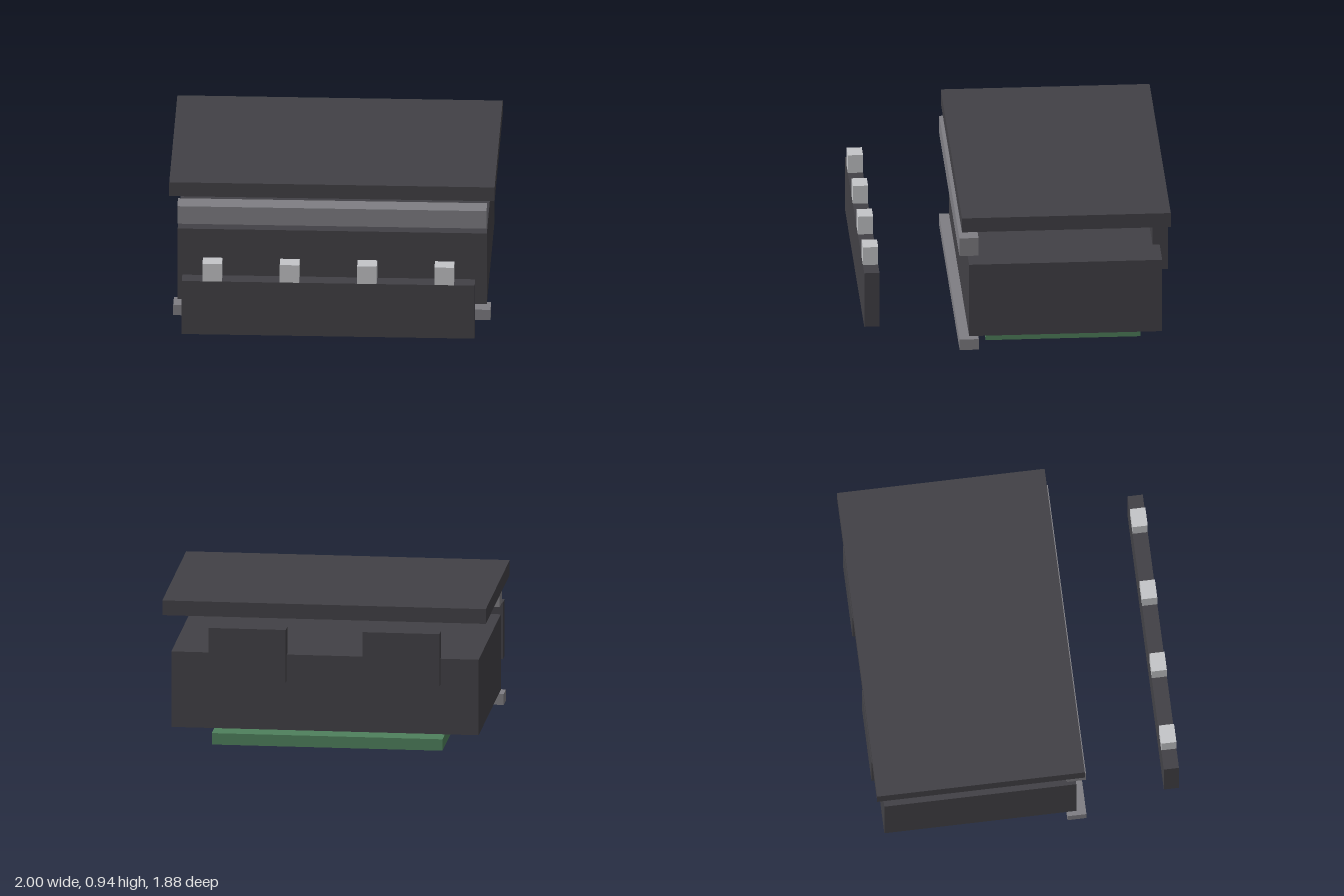
import * as THREE from 'three';

const paint = (name, color) => {
  const m = new THREE.MeshStandardMaterial({ color });
  m.name = name;
  return m;
};

export function createModel() {
  const charcoal = paint('charcoal', 0x424146);
  const midGray = paint('midGray', 0x7f7e83);
  const lightGray = paint('lightGray', 0xc4c5c8);
  const green = paint('boardGreen', 0x4f805c);

  const model = new THREE.Group();
  model.name = 'explodedEnclosure';

  // Adds a box given its extents along each axis
  const box = (name, material, [x0, x1], [y0, y1], [z0, z1]) => {
    const mesh = new THREE.Mesh(new THREE.BoxGeometry(x1 - x0, y1 - y0, z1 - z0), material);
    mesh.position.set((x0 + x1) / 2, (y0 + y1) / 2, (z0 + z1) / 2);
    mesh.name = name;
    model.add(mesh);
  };

  // Main enclosure and the lid floating above it
  box('lid', charcoal, [-1, 1], [0.85, 0.943], [-0.94, 0.345]);
  box('body', charcoal, [-0.95, 0.95], [0.133, 0.61], [-0.89, 0.298]);

  // Trim bars along the front
  box('upperBar', midGray, [-0.95, 0.95], [0.67, 0.788], [0.24, 0.358]);
  box('lowerBar', midGray, [-0.975, 0.975], [0.052, 0.122], [0.24, 0.358]);

  // Circuit board and chip beneath the body
  box('circuitBoard', green, [-0.713, 0.713], [0, 0.072], [-0.773, 0.18]);
  box('chip', charcoal, [-0.178, 0.178], [0.072, 0.12], [-0.475, -0.12]);

  // Front panel with four buttons on its top edge
  box('frontPanel', charcoal, [-0.9, 0.9], [0.192, 0.55], [0.846, 0.94]);
  for (const x of [-0.713, -0.238, 0.238, 0.713]) {
    box('button', lightGray, [x - 0.06, x + 0.06], [0.55, 0.668], [0.846, 0.94]);
  }

  // Pair of plates on the back
  for (const x of [-0.475, 0.475]) {
    box('backPlate', charcoal, [x - 0.238, x + 0.238], [0.445, 0.777], [-0.94, -0.846]);
  }
  return model;
}
